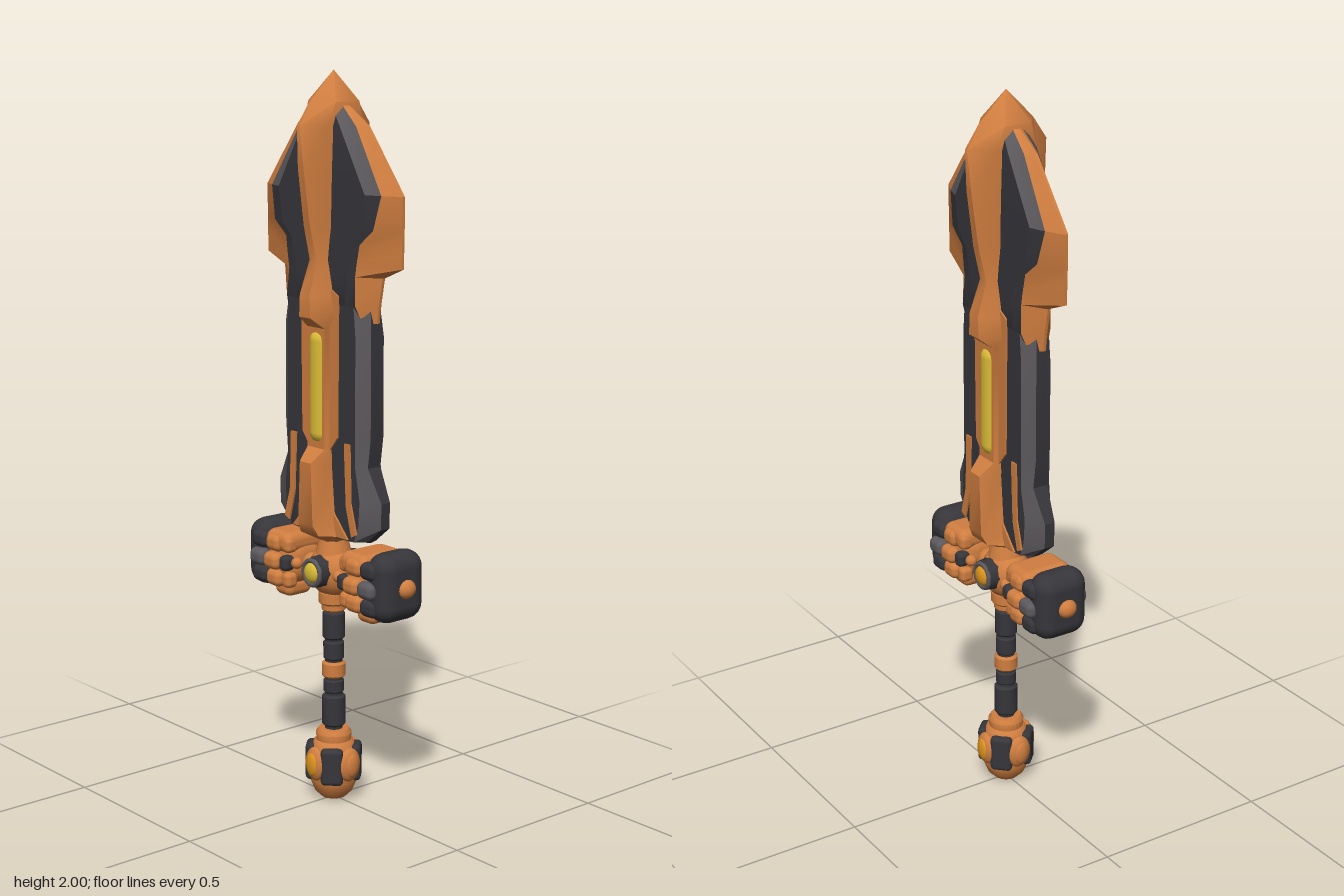
import * as THREE from 'three';
import { toCreasedNormals } from 'three/addons/utils/BufferGeometryUtils.js';
import { RoundedBoxGeometry } from 'three/addons/geometries/RoundedBoxGeometry.js';

const material = (name, color, extra = {}) => {
  const m = new THREE.MeshStandardMaterial({ color, ...extra });
  m.name = name;
  return m;
};

export function createModel() {
  const copper = material('copper', 0xd07e40, { side: THREE.DoubleSide });
  const dark = material('dark iron', 0x36363b, { side: THREE.DoubleSide });
  const grey = material('grey steel', 0x5c595c, { side: THREE.DoubleSide });
  const yellow = material('yellow crystal', 0xdabb36);
  const amber = material('amber gem', 0xdc941c);

  const model = new THREE.Group();
  model.name = 'sword';
  const add = (name, geo, mat, x = 0, y = 0, z = 0, parent = model) => {
    const m = new THREE.Mesh(geo, mat);
    m.name = name;
    m.position.set(x, y, z);
    parent.add(m);
    return m;
  };
  const box = (w, h, d, r = 0.42) => new RoundedBoxGeometry(w, h, d, 3, Math.min(w, h, d) * r);
  const ball = (rx, ry = rx, rz = rx) => new THREE.SphereGeometry(1, 20, 14).scale(rx, ry, rz);
  const surface = (pos, crease) => {
    const g = new THREE.BufferGeometry();
    g.setAttribute('position', new THREE.Float32BufferAttribute(pos, 3));
    g.computeVertexNormals();
    return toCreasedNormals(g, crease);
  };

  // Blade: rows of [y, x1, z1, x2, z2, x3, z3]; each strip between columns has one colour
  function blade(name, rows, mats) {
    const columns = (r) => [[0, r[2]], [r[1], r[2]], [r[3], r[4]], [r[5], r[6]], [r[5], 0]];
    mats.forEach((mat, k) => {
      const pos = [];
      for (const sx of [1, -1]) for (const sz of [1, -1]) {
        for (let i = 0; i < rows.length - 1; i++) {
          const p = (row, c) => {
            const [x, z] = columns(rows[row])[c];
            return [x * sx, rows[row][0], z * sz];
          };
          const a = p(i, k), b = p(i, k + 1), c = p(i + 1, k + 1), d = p(i + 1, k);
          const tris = sx * sz > 0 ? [a, b, c, a, c, d] : [a, c, b, a, d, c];
          pos.push(...tris.flat());
        }
      }
      add(name + ' strip ' + (k + 1), surface(pos, 0.5), mat);
    });
  }
  blade('lowerBlade', [
    [0.76, 0.09, 0, 0.13, 0, 0.15, 0],
    [0.765, 0.09, 0.045, 0.13, 0.04, 0.155, 0.015],
    [0.81, 0.11, 0.045, 0.15, 0.042, 0.21, 0.015],
    [0.88, 0.11, 0.045, 0.155, 0.042, 0.212, 0.015],
    [0.97, 0.10, 0.045, 0.14, 0.045, 0.165, 0.022],
    [1.05, 0.10, 0.045, 0.14, 0.045, 0.176, 0.022],
    [1.32, 0.10, 0.045, 0.14, 0.045, 0.176, 0.022],
    [1.42, 0.09, 0.045, 0.13, 0.045, 0.165, 0.015],
  ], [dark, dark, grey, dark]);
  const widest = [1.69, 0.175, 0.045, 0.222, 0.030, 0.274, 0.004];
  blade('bladeShoulder', [
    [1.355, 0.10, 0.03, 0.15, 0.03, 0.18, 0.004],
    [1.40, 0.10, 0.046, 0.14, 0.046, 0.185, 0.004],
    [1.475, 0.10, 0.046, 0.135, 0.042, 0.20, 0.004],
    [1.505, 0.11, 0.046, 0.14, 0.042, 0.272, 0.004],
    [1.56, 0.12, 0.046, 0.15, 0.040, 0.273, 0.004],
    [1.60, 0.16, 0.045, 0.20, 0.038, 0.274, 0.004],
    widest,
  ], [dark, dark, copper, copper]);
  blade('bladeTip', [
    widest,
    [1.86, 0.075, 0.044, 0.112, 0.020, 0.14, 0.004],
    [1.91, 0.03, 0.032, 0.052, 0.014, 0.06, 0.004],
  ], [dark, grey, copper, copper]);

  // Thin painted inlays on both faces, mirrored left and right
  const inlays = [
    ['innerTrim', [[0.04, 1.0], [0.072, 1.04], [0.076, 1.42], [0.04, 1.44]]],
    ['lowerTrim', [[0.10, 1.03], [0.122, 1.03], [0.127, 0.87], [0.15, 0.79], [0.13, 0.78], [0.108, 0.86]]],
    ['lowerFoot', [[0.03, 0.77], [0.115, 0.77], [0.06, 0.83], [0.03, 0.9]]],
  ];
  for (const [name, pts] of inlays) for (const s of [1, -1]) {
    const shape = new THREE.Shape(pts.map(([x, y]) => new THREE.Vector2(x * s, y)));
    const geo = new THREE.ExtrudeGeometry(shape, { depth: 0.005, bevelEnabled: false });
    add(name, geo, copper, 0, 0, 0.045);
    add(name, geo, copper, 0, 0, -0.05);
  }

  // Raised central spine: rows of [y, half width, half depth, flatness of the ridge]
  const spineRows = [
    [0.74, 0.03, 0.03, 0.5], [0.77, 0.075, 0.085, 0.5], [0.80, 0.06, 0.1, 0.5], [0.97, 0.045, 0.1, 0.5],
    [1.005, 0.05, 0.062, 0.7], [1.33, 0.05, 0.062, 0.7], [1.36, 0.058, 0.1, 0.4], [1.42, 0.05, 0.1, 0.4],
    [1.51, 0.038, 0.07, 0.4], [1.60, 0.042, 0.092, 0.3], [1.75, 0.046, 0.112, 0.25],
    [1.86, 0.05, 0.12, 0.1], [1.92, 0.056, 0.08, 0.05], [2.0, 0, 0, 0],
  ];
  const ring = ([y, w, d, f]) => [
    [w * f, d], [w, d * 0.5], [w, -d * 0.5], [w * f, -d],
    [-w * f, -d], [-w, -d * 0.5], [-w, d * 0.5], [-w * f, d],
  ].map(([x, z]) => [x, y, z]);
  const spine = [];
  for (let i = 0; i < spineRows.length - 1; i++) {
    const lo = ring(spineRows[i]), hi = ring(spineRows[i + 1]);
    for (let j = 0; j < 8; j++) {
      const k = (j + 1) % 8;
      spine.push(...[lo[j], lo[k], hi[k], lo[j], hi[k], hi[j]].flat());
    }
  }
  add('spine', surface(spine, 0.8), copper);
  add('bladeCrystal', box(0.066, 0.31, 0.146, 0.48), yellow, 0, 1.17);

  // Guard hub with a ringed gem on each face
  add('guardHub', ball(0.075, 0.075, 0.065), copper, 0, 0.655);
  add('guardNeck', new THREE.CylinderGeometry(0.035, 0.05, 0.06, 16), copper, 0, 0.735);
  for (const s of [1, -1]) {
    const bezel = add('hubBezel', new THREE.CylinderGeometry(0.042, 0.048, 0.035, 8), dark, 0, 0.66, s * 0.06);
    bezel.rotation.x = s * Math.PI / 2;
    add('hubRim', new THREE.TorusGeometry(0.034, 0.007, 8, 20), grey, 0, 0.66, s * 0.077);
    add('hubGem', ball(0.028, 0.028, 0.014), s > 0 ? yellow : amber, 0, 0.66, s * 0.078);
  }

  // Guard arms: fist-like clusters of rounded blocks
  for (const s of [1, -1]) {
    const arm = new THREE.Group();
    arm.name = s > 0 ? 'leftGuardArm' : 'rightGuardArm';
    model.add(arm);
    const part = (name, geo, mat, x, y, z = 0) => add(name, geo, mat, s * x, y, z, arm);
    part('joint', ball(0.03), copper, 0.09, 0.655);
    part('core', box(0.13, 0.14, 0.14), copper, 0.165, 0.66);
    part('endCap', box(0.095, 0.19, 0.155, 0.48), dark, 0.25, 0.665);
    part('endStud', ball(0.022, 0.026, 0.028), copper, 0.295, 0.665);
    part('underLump', box(0.07, 0.05, 0.09), copper, 0.175, 0.575);
    part('topLump', box(0.105, 0.06, 0.155), copper, 0.158, 0.715);
    for (const z of [1, -1]) {
      [0.71, 0.66, 0.61].forEach((y, i) => {
        const out = i === 1 ? 0.074 : 0.064;
        part('outerKnuckle', box(0.062, 0.048, 0.045), i === 1 ? grey : dark, 0.228, y, z * out);
        part('middleKnuckle', box(0.06, 0.048, 0.045), copper, 0.168, y, z * out);
        part('innerKnuckle', box(0.034, 0.044, 0.04), i === 1 ? dark : copper, 0.122, y, z * (out - 0.008));
      });
      part('smallBead', ball(0.016), copper, 0.088, 0.665, z * 0.058);
    }
  }

  // Grip: stacked bands given as [bottom, top, radius, material]
  const bands = [
    [0.56, 0.60, 0.042, copper], [0.54, 0.565, 0.034, copper], [0.46, 0.54, 0.031, dark],
    [0.40, 0.456, 0.029, dark], [0.35, 0.396, 0.033, copper], [0.305, 0.346, 0.029, dark],
    [0.21, 0.30, 0.033, dark],
  ];
  for (const [y0, y1, r, mat] of bands) {
    const h = y1 - y0, b = 0.006;
    const profile = [[0, 0], [r - b, 0], [r, b], [r, h - b], [r - b, h], [0, h]];
    const geo = new THREE.LatheGeometry(profile.map((p) => new THREE.Vector2(...p)), 16);
    add('gripBand', toCreasedNormals(geo, 0.5), mat, 0, y0);
  }
  add('gripCore', new THREE.CylinderGeometry(0.025, 0.025, 0.42, 12), dark, 0, 0.38);

  // Pommel with corner plates, side studs and gems
  const pommel = [[0, 0], [0.035, 0.004], [0.053, 0.022], [0.066, 0.055], [0.068, 0.13], [0.055, 0.165],
    [0.048, 0.17], [0.05, 0.19], [0.042, 0.202], [0, 0.202]];
  add('pommelBody', toCreasedNormals(
    new THREE.LatheGeometry(pommel.map((p) => new THREE.Vector2(...p)), 24), 0.7), copper);
  for (let i = 0; i < 4; i++) {
    const a = i * Math.PI / 2, c = a + Math.PI / 4;
    const plate = add('pommelPlate', box(0.062, 0.105, 0.03), dark, Math.sin(c) * 0.062, 0.107, Math.cos(c) * 0.062);
    plate.rotation.y = c;
    const stud = add('pommelStud', ball(0.036, 0.048, 0.02), copper, Math.sin(a) * 0.066, 0.11, Math.cos(a) * 0.066);
    stud.rotation.y = a;
    const gem = add('pommelGem', ball(0.023, 0.034, 0.012), i % 2 ? copper : amber,
      Math.sin(a) * 0.078, 0.11, Math.cos(a) * 0.078);
    gem.rotation.y = a;
  }
  return model;
}
